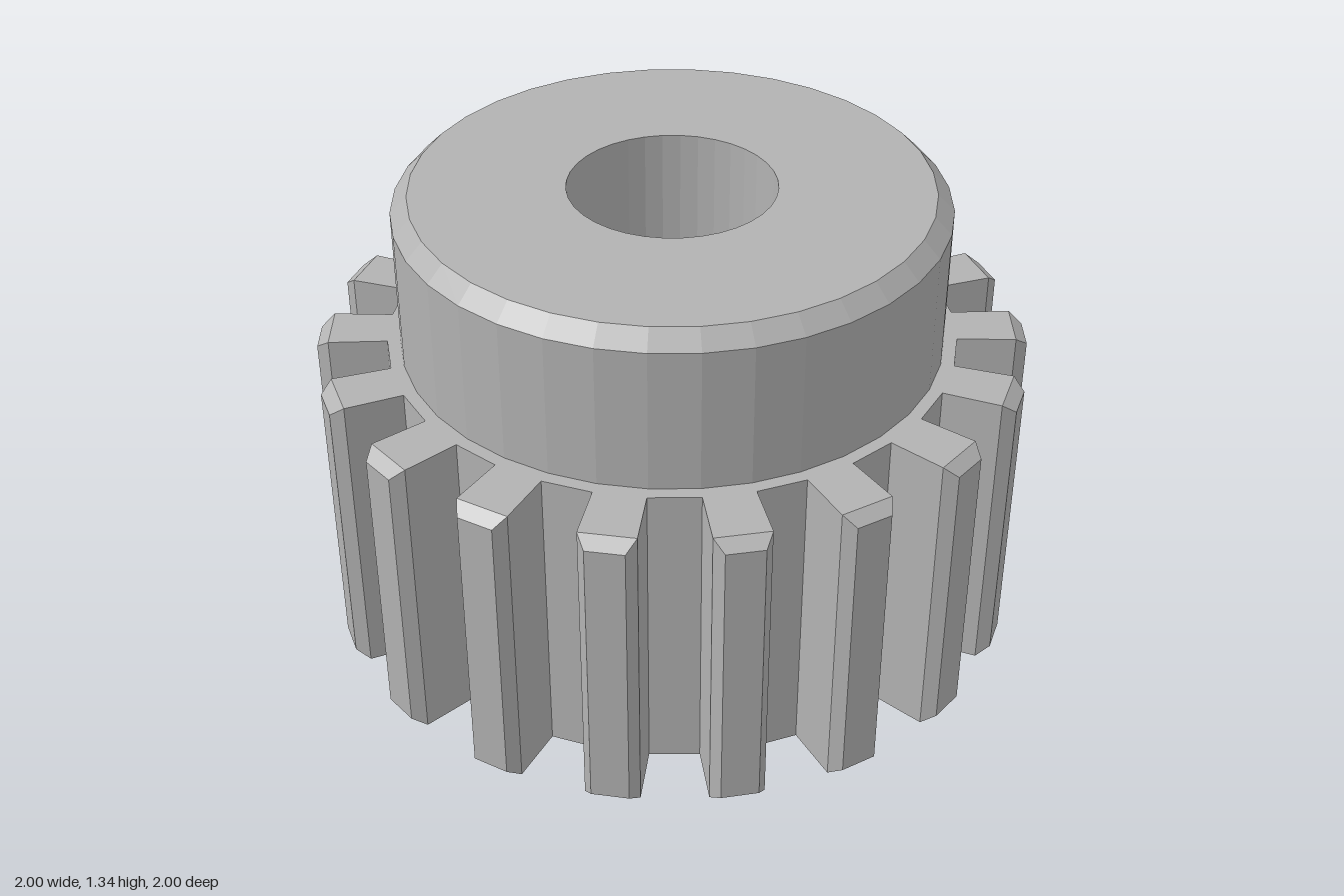
import * as THREE from 'three';

const TEETH = 18, SEGMENTS = 36, OFFSET = 5 * Math.PI / 180;
const GEAR_HEIGHT = 0.885, TOP = 1.34, BORE = 0.288;
const ROOT = 0.797, SHOULDER = 0.962, TIP = 0.998;
const ROOT_HALF = 0.07, SHOULDER_HALF = 0.076, TIP_HALF = 0.052, CHAMFER = 0.028;

// Facet every polygon with its own normal
function faceted(geometry) {
  const g = geometry.index ? geometry.toNonIndexed() : geometry;
  g.computeVertexNormals();
  return g;
}

// Toothed ring outline with the bore cut out, extruded upwards
function gearGeometry() {
  const points = [];
  for (let i = 0; i < TEETH; i++) {
    const a = OFFSET + i * Math.PI * 2 / TEETH, c = Math.cos(a), s = Math.sin(a);
    const corners = [[ROOT, -ROOT_HALF], [SHOULDER, -SHOULDER_HALF], [SHOULDER, SHOULDER_HALF], [ROOT, ROOT_HALF]];
    for (const [r, t] of corners) points.push(new THREE.Vector2(r * c - t * s, r * s + t * c));
  }
  const shape = new THREE.Shape(points);
  const hole = [];
  for (let i = 0; i < SEGMENTS; i++) {
    const a = -i * Math.PI * 2 / SEGMENTS;
    hole.push(new THREE.Vector2(BORE * Math.cos(a), BORE * Math.sin(a)));
  }
  shape.holes.push(new THREE.Path(hole));
  const g = new THREE.ExtrudeGeometry(shape, { depth: GEAR_HEIGHT, bevelEnabled: false });
  g.rotateX(Math.PI / 2);
  g.translate(0, GEAR_HEIGHT, 0);
  return faceted(g);
}

// Tooth end, narrowed on all four sides towards its outer face
function tipGeometry() {
  const g = new THREE.BoxGeometry(TIP - SHOULDER, GEAR_HEIGHT, SHOULDER_HALF * 2);
  const p = g.attributes.position;
  for (let i = 0; i < p.count; i++) {
    if (p.getX(i) > 0) {
      p.setY(i, Math.sign(p.getY(i)) * (GEAR_HEIGHT / 2 - CHAMFER));
      p.setZ(i, Math.sign(p.getZ(i)) * TIP_HALF);
    }
  }
  g.translate((TIP + SHOULDER) / 2, GEAR_HEIGHT / 2, 0);
  return faceted(g);
}

// Round collar with a chamfered rim and the upper part of the bore
function hubGeometry() {
  const profile = [
    [0.763, GEAR_HEIGHT], [0.763, 1.293], [0.716, TOP], [BORE, TOP], [BORE, GEAR_HEIGHT],
  ].map(([r, y]) => new THREE.Vector2(r, y));
  return faceted(new THREE.LatheGeometry(profile, SEGMENTS));
}

export function createModel() {
  const model = new THREE.Group();
  model.name = 'pinionGear';
  const steel = new THREE.MeshStandardMaterial({ color: 0xb2b2b2 });
  steel.name = 'steel grey';

  const add = (name, geometry, parent = model) => {
    const mesh = new THREE.Mesh(geometry, steel);
    mesh.name = name;
    parent.add(mesh);
    return mesh;
  };

  add('toothedRing', gearGeometry());
  add('hub', hubGeometry());

  const tips = new THREE.Group();
  tips.name = 'toothTips';
  model.add(tips);
  const tip = tipGeometry();
  for (let i = 0; i < TEETH; i++) {
    add('toothTip', tip, tips).rotation.y = -(OFFSET + i * Math.PI * 2 / TEETH);
  }
  return model;
}
